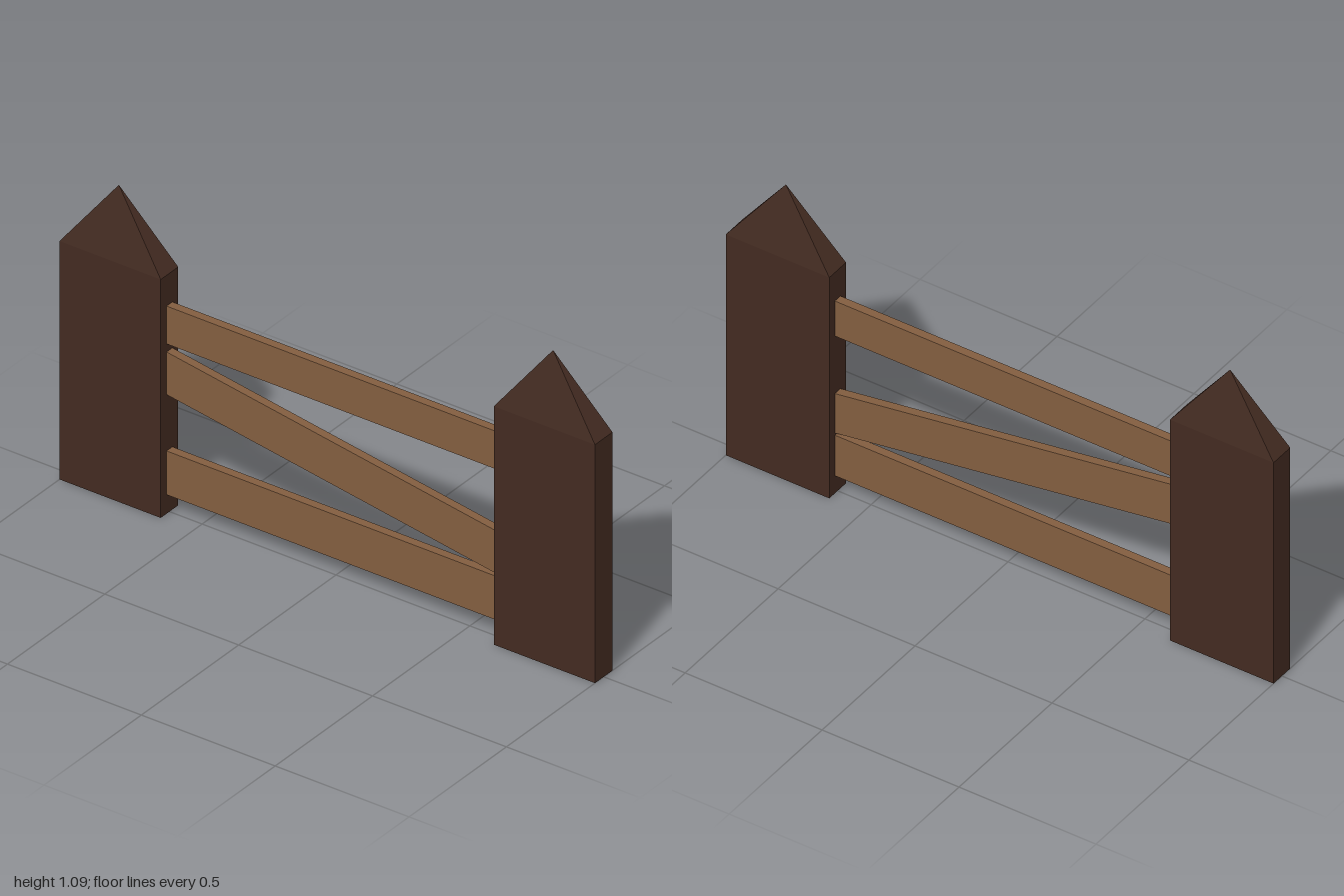
import * as THREE from 'three';

const POST = { x: 0.811, width: 0.378, depth: 0.09, shoulder: 0.845, peak: 1.09 };
const RAIL = { length: 1.26, depth: 0.03 };

// Rectangular post with a pyramid point: a four-sided lathe stretched to size
function createPost(name, x, material) {
  const r = Math.SQRT1_2;
  const profile = [[0, 0], [r, 0], [r, POST.shoulder], [0, POST.peak]]
    .map(([px, py]) => new THREE.Vector2(px, py));
  const geometry = new THREE.LatheGeometry(profile, 4, Math.PI / 4);
  geometry.scale(POST.width, 1, POST.depth);
  geometry.computeVertexNormals();
  const post = new THREE.Mesh(geometry, material);
  post.name = name;
  post.position.x = x;
  return post;
}

// Plank between the posts; slope shears it so its ends stay vertical
function createRail(name, y, height, slope, material) {
  const geometry = new THREE.BoxGeometry(RAIL.length, height, RAIL.depth);
  const position = geometry.attributes.position;
  for (let i = 0; i < position.count; i++) {
    position.setY(i, position.getY(i) + slope * position.getX(i));
  }
  geometry.computeVertexNormals();
  const rail = new THREE.Mesh(geometry, material);
  rail.name = name;
  rail.position.y = y;
  return rail;
}

export function createModel() {
  const darkWood = new THREE.MeshStandardMaterial({ color: 0x432b21, flatShading: true });
  const lightWood = new THREE.MeshStandardMaterial({ color: 0x835e40, flatShading: true });

  const fence = new THREE.Group();
  fence.name = 'fence';
  fence.add(
    createPost('leftPost', POST.x, darkWood),
    createPost('rightPost', -POST.x, darkWood),
    createRail('topRail', 0.669, 0.134, 0, lightWood),
    createRail('slantedRail', 0.402, 0.151, -0.154, lightWood),
    createRail('bottomRail', 0.145, 0.155, 0, lightWood),
  );
  return fence;
}
